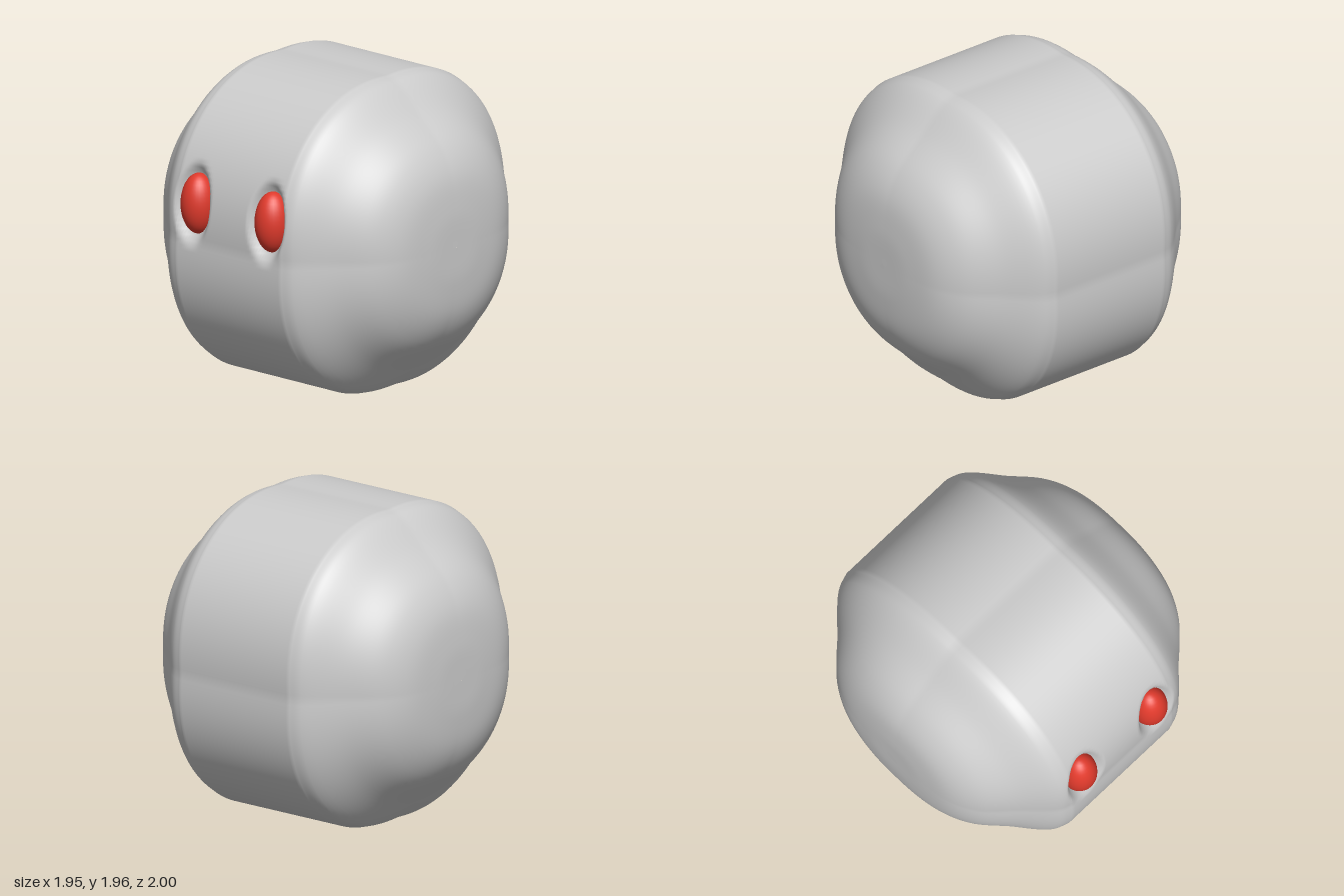
import * as THREE from 'three';
import { mergeVertices } from 'three/addons/utils/BufferGeometryUtils.js';

const R = 0.977, CY = 0.98, CZ = -0.022;
const EYE = { x: 0.3, y: 1.21, z: 0.885, rx: 0.11, ry: 0.19, rz: 0.115 };

// Rounded block: a barrel along x whose round section is pushed towards a soft square
function bodyGeometry() {
  const half = [[0.42, R], [0.5, 0.947], [0.675, 0.78], [0.85, 0.61], [0.935, 0.45], [0.97, 0.235], [0.975, 0.001]];
  const cap = new THREE.CatmullRomCurve3(half.map(([x, r]) => new THREE.Vector3(r, x, 0)), false, 'centripetal').getPoints(42);
  const profile = cap.map(p => new THREE.Vector2(p.x, -p.y)).reverse();
  for (let i = 1; i < 56; i++) profile.push(new THREE.Vector2(R, -0.42 + 0.84 * i / 56));
  cap.forEach(p => profile.push(new THREE.Vector2(p.x, p.y)));

  let geo = new THREE.LatheGeometry(profile, 192).rotateZ(-Math.PI / 2);
  const pos = geo.attributes.position;
  for (let i = 0; i < pos.count; i++) {
    const x = pos.getX(i), r = Math.hypot(pos.getY(i), pos.getZ(i));
    const a = Math.atan2(pos.getY(i), pos.getZ(i));
    const blend = 0.5 + 0.5 * r / R;
    const f = 1 + 0.066 * blend * Math.pow(Math.abs(Math.sin(2 * a)), 1.2);
    const y = pos.getY(i) * f + CY;
    let z = pos.getZ(i) * f + CZ;
    // Shallow sockets around the eyes
    if (z > 0.5) {
      const d = Math.hypot((Math.abs(x) - EYE.x) / EYE.rx, (y - EYE.y) / EYE.ry);
      z -= 0.065 * (1 - THREE.MathUtils.smoothstep(d, 0.85, 1.4));
    }
    pos.setXYZ(i, x, y, z);
  }
  geo.deleteAttribute('normal');
  geo.deleteAttribute('uv');
  geo = mergeVertices(geo, 1e-5);
  geo.computeVertexNormals();
  return geo;
}

export function createModel() {
  const model = new THREE.Group();
  const grey = new THREE.MeshStandardMaterial({ color: 0xcccccc });
  const red = new THREE.MeshStandardMaterial({ color: 0xe03a2c });

  const body = new THREE.Mesh(bodyGeometry(), grey);
  body.name = 'body';
  model.add(body);

  // Oval eyes set into the sockets
  for (const side of [1, -1]) {
    const eye = new THREE.Mesh(new THREE.SphereGeometry(1, 32, 20), red);
    eye.scale.set(EYE.rx, EYE.ry, EYE.rz);
    eye.position.set(side * EYE.x, EYE.y, EYE.z);
    eye.name = side > 0 ? 'leftEye' : 'rightEye';
    model.add(eye);
  }
  return model;
}
